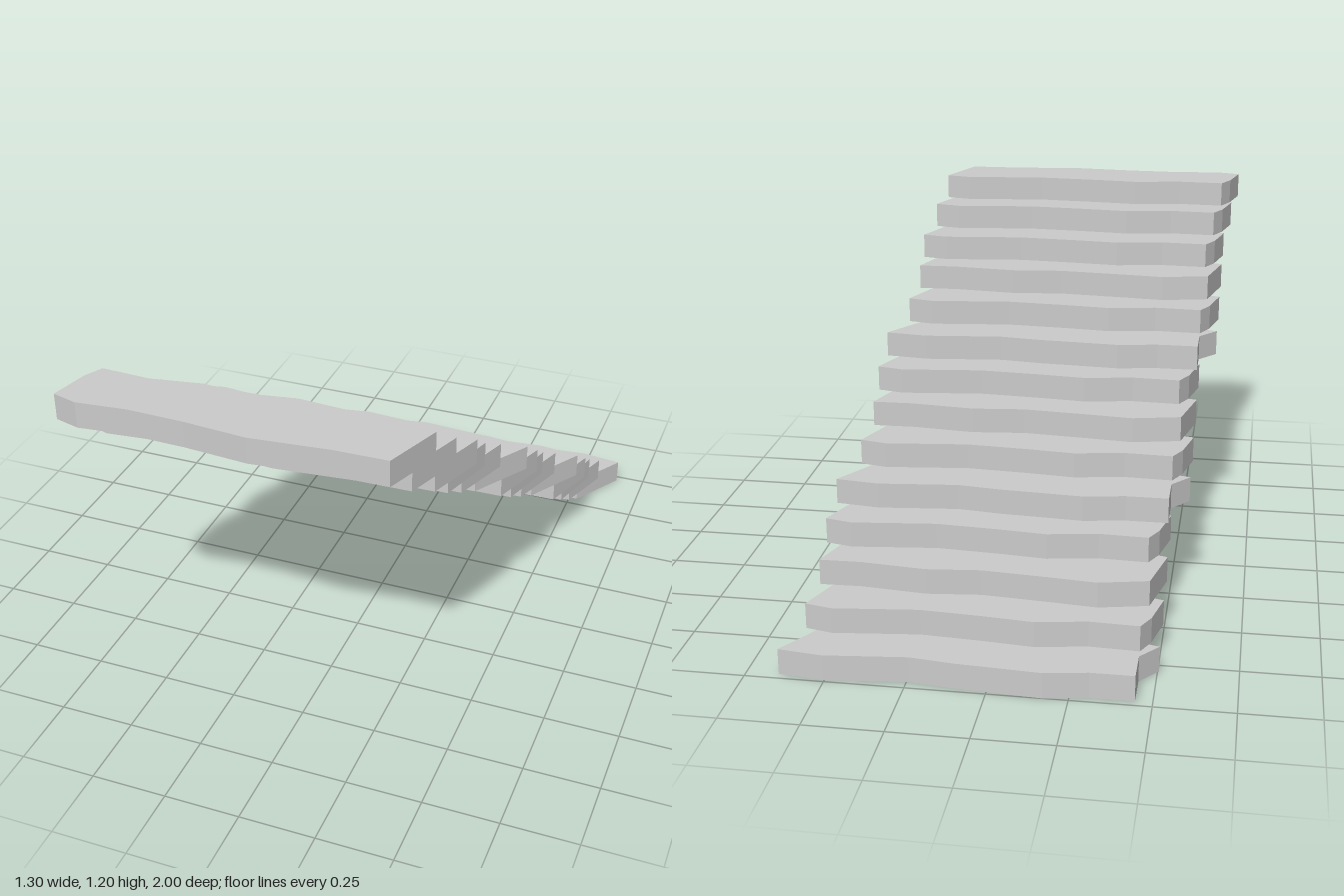
import * as THREE from 'three';

// Plan outlines of the slabs as [x, z], measured from the front left corner of each slab.
const frontEdge = [[0, 0], [0.08, 0.022], [0.24, 0.006], [0.42, 0.011], [0.62, 0.027], [0.87, 0.003], [1.035, 0]];

// Rear edges run from the right end back to the left end.
const rearNotched = [[1.153, -0.187], [1.01, -0.205], [0.746, -0.178], [0.6, -0.196], [0.5, -0.202],
  [0.333, -0.213], [0.196, -0.19], [0.058, -0.19], [0.058, -0.07]];
const rearWavy = [[1.104, -0.186], [1.016, -0.206], [0.741, -0.176], [0.54, -0.189], [0.381, -0.204],
  [0.217, -0.176], [0.058, -0.183], [0.028, -0.122]];
const rearOffset = [[1.094, -0.182], [0.958, -0.179], [0.746, -0.2], [0.571, -0.182], [0.354, -0.2],
  [0.201, -0.215], [0.042, -0.18]];
const pattern = [rearNotched, rearWavy, rearOffset, rearWavy];

const COUNT = 14;
const RISE = 1.2 / COUNT;
// Frontmost z of each slab, bottom to top.
const frontZ = [-0.76, -0.616, -0.482, -0.348, -0.22, -0.075, 0.064, 0.193, 0.32, 0.466, 0.605, 0.733, 0.877, 1];

function slabGeometry(rear) {
  const outline = [...frontEdge, ...rear].map(([x, z]) => new THREE.Vector2(x, -z));
  const geometry = new THREE.ExtrudeGeometry(new THREE.Shape(outline), { depth: RISE - 0.0005, bevelEnabled: false });
  return geometry.rotateX(-Math.PI / 2);
}

export function createModel() {
  const model = new THREE.Group();
  model.name = 'stoneStairs';
  const material = new THREE.MeshStandardMaterial({ color: 0xcccccc, flatShading: true });
  const geometries = new Map([rearNotched, rearWavy, rearOffset].map((rear) => [rear, slabGeometry(rear)]));

  // Flight climbs toward the front, drifting sideways every four steps.
  for (let i = 0; i < COUNT; i++) {
    const isTop = i >= 12;
    const rear = isTop ? rearWavy : pattern[i % 4];
    const left = isTop ? -0.63 - 0.021 * (i - 12) : -0.505 - 0.0525 * Math.floor(i / 4);
    const step = new THREE.Mesh(geometries.get(rear), material);
    step.name = `step${i + 1}`;
    step.position.set(left, i * RISE, frontZ[i] - 0.027);
    model.add(step);
  }
  return model;
}
